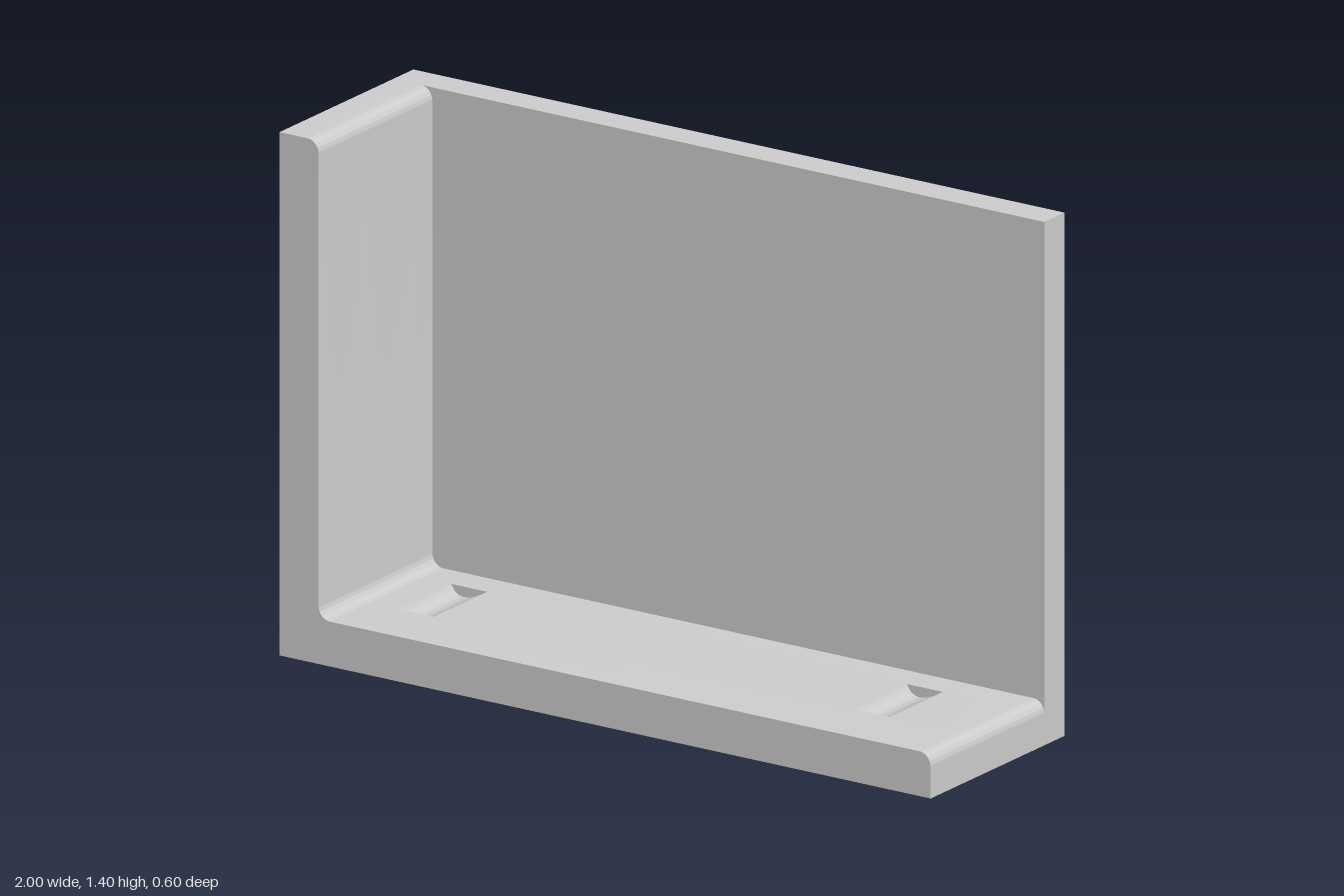
import * as THREE from 'three';
import { toCreasedNormals } from 'three/addons/utils/BufferGeometryUtils.js';

const material = new THREE.MeshStandardMaterial({ color: 0xcccccc });
const W = 1, H = 1.4, T = 0.12, R = 0.035; // half width, height, wall thickness, edge radius
const BACK = -0.3, PANEL = -0.21, FRONT = 0.3;

// L-shaped outline of side wall and floor, optionally dipped by the shallow pockets
function outline(pockets) {
  const s = new THREE.Shape();
  s.moveTo(-W, 0);
  s.lineTo(W, 0);
  s.lineTo(W, T - R);
  s.absarc(W - R, T - R, R, 0, Math.PI / 2, false);
  for (const x of pockets) {
    s.lineTo(x + 0.055, T);
    s.bezierCurveTo(x + 0.02, T - 0.022, x - 0.035, T - 0.05, x - 0.055, T);
  }
  s.lineTo(-W + T + R, T);
  s.absarc(-W + T + R, T + R, R, -Math.PI / 2, -Math.PI, true);
  s.lineTo(-W + T, H - R);
  s.absarc(-W + T - R, H - R, R, 0, Math.PI / 2, false);
  s.lineTo(-W, H);
  return s;
}

function slice(name, z0, z1, pockets = []) {
  const g = new THREE.ExtrudeGeometry(outline(pockets), {
    depth: z1 - z0, bevelEnabled: false, curveSegments: 10,
  });
  g.translate(0, 0, z0);
  const mesh = new THREE.Mesh(toCreasedNormals(g, 0.5), material);
  mesh.name = name;
  return mesh;
}

export function createModel() {
  const model = new THREE.Group();
  model.name = 'cornerBracket';

  // Flat back panel
  const panel = new THREE.Mesh(new THREE.BoxGeometry(2 * W, H, PANEL - BACK), material);
  panel.position.set(0, H / 2, (PANEL + BACK) / 2);
  panel.name = 'backPanel';
  model.add(panel);

  // Side wall and floor, with two scooped pockets in the middle slice
  const ledge = new THREE.Group();
  ledge.name = 'sideWallAndFloor';
  ledge.add(
    slice('rearLedge', PANEL, -0.12),
    slice('pocketedLedge', -0.12, 0.12, [0.695, -0.705]),
    slice('frontLedge', 0.12, FRONT),
  );
  model.add(ledge);
  return model;
}
